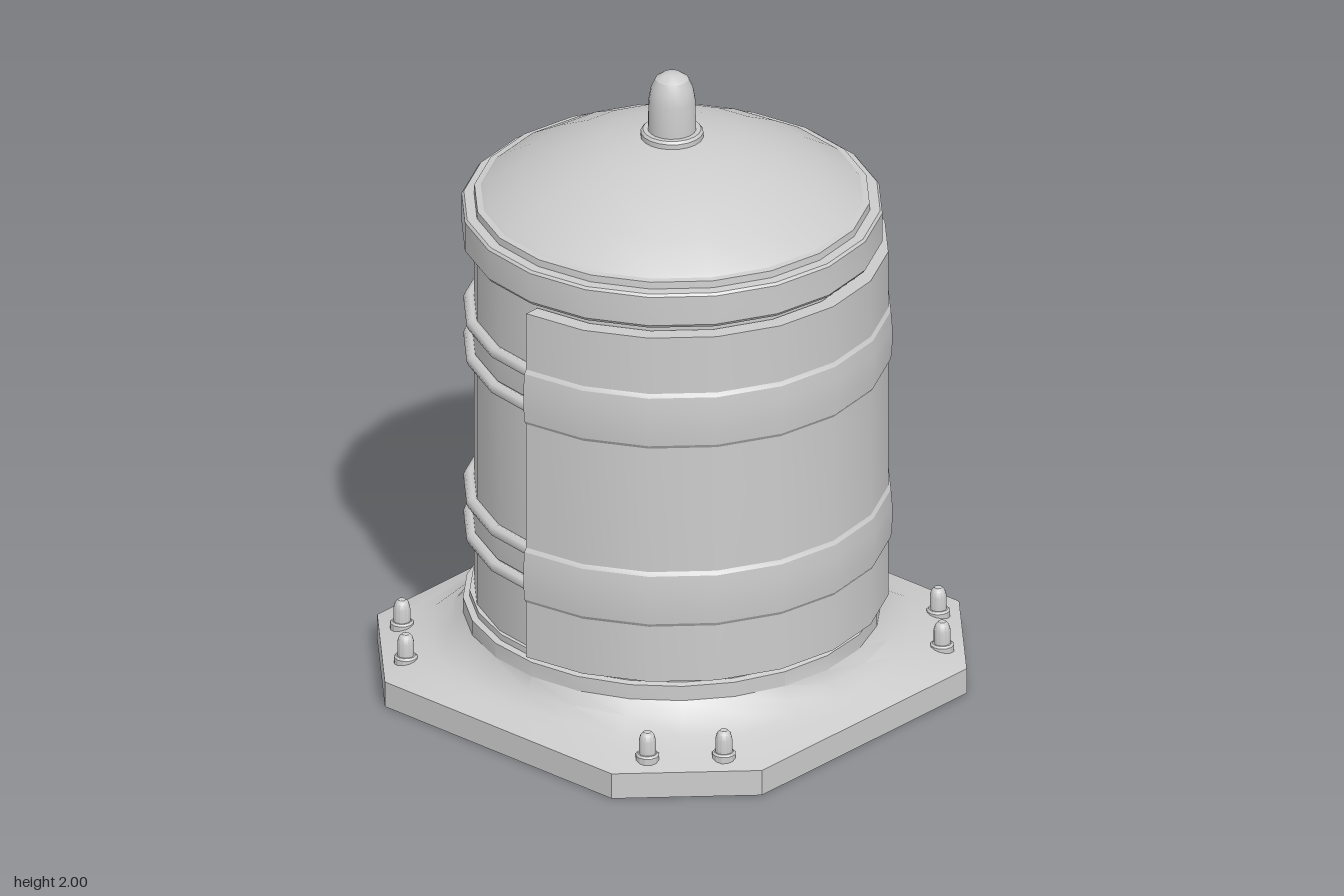
import * as THREE from 'three';
import { toCreasedNormals } from 'three/addons/utils/BufferGeometryUtils.js';

const grey = new THREE.MeshStandardMaterial({ color: 0xcccccc, side: THREE.DoubleSide });
const SIDES = 20;
const CREASE = 0.5;

const toPoints = (profile) => profile.map(([x, y]) => new THREE.Vector2(x, y));

function addMesh(parent, name, geometry) {
  const mesh = new THREE.Mesh(geometry, grey);
  mesh.name = name;
  parent.add(mesh);
  return mesh;
}

// Turned part; the profile runs upwards on its outside
function turned(profile, sides = SIDES, start = 0, sweep = Math.PI * 2) {
  return toCreasedNormals(new THREE.LatheGeometry(toPoints(profile), sides, start, sweep), CREASE);
}

// Octagonal foot that flows into a round collar, hollow underneath
function footGeometry() {
  const half = 0.78, corner = 0.46;
  const edge = (a) => {
    const s = Math.abs(Math.sin(a)), c = Math.abs(Math.cos(a));
    return Math.min(half / Math.max(s, c), (half + corner) / (s + c));
  };
  // Each ring: round radius, height, blend towards the octagon
  const rings = [
    [0, 0.2, 0], [0.56, 0.2, 0], [0.565, 0.12, 0], [0.59, 0.05, 0], [0.65, 0, 0],
    [0.63, 0, 1], [0.63, 0.083, 1], [0.63, 0.108, 0.6], [0.63, 0.125, 0.38],
    [0.63, 0.16, 0.13], [0.63, 0.2, 0], [0.63, 0.248, 0],
    [0.61, 0.252, 0], [0.61, 0.272, 0], [0.59, 0.272, 0],
  ];
  // Columns fall exactly on the octagon's corners
  const a0 = Math.atan2(corner, half);
  const angles = [];
  for (let q = 0; q < 4; q++) {
    const base = q * Math.PI / 2;
    for (let i = 0; i < 4; i++) angles.push(base - a0 + (2 * a0 * i) / 4);
    for (let i = 0; i < 2; i++) angles.push(base + a0 + ((Math.PI / 2 - 2 * a0) * i) / 2);
  }
  const n = angles.length, positions = [], index = [];
  rings.forEach(([r, y, blend], k) => {
    angles.forEach((a, i) => {
      const radius = r + (edge(a) - r) * blend;
      positions.push(Math.sin(a) * radius, y, Math.cos(a) * radius);
      if (k === rings.length - 1) return;
      const p = k * n + i, q = k * n + (i + 1) % n;
      index.push(p, q, p + n, q, q + n, p + n);
    });
  });
  const g = new THREE.BufferGeometry();
  g.setAttribute('position', new THREE.Float32BufferAttribute(positions, 3));
  g.setIndex(index);
  return toCreasedNormals(g, CREASE);
}

// Front half shell with closed ends
function addHalfShell(parent, name, profile) {
  const shell = new THREE.Group();
  shell.name = name;
  addMesh(shell, name + 'Wall', turned([...profile, profile[0]], SIDES / 2, -Math.PI / 2, Math.PI));
  for (const turn of [0, Math.PI]) {
    const end = addMesh(shell, name + 'End', new THREE.ShapeGeometry(new THREE.Shape(toPoints(profile))));
    end.rotation.y = turn;
  }
  parent.add(shell);
}

export function createModel() {
  const model = new THREE.Group();
  model.name = 'canister';

  addMesh(model, 'foot', footGeometry());
  addMesh(model, 'body', turned([[0.6, 0.25], [0.6, 1.47]]));

  // Lid: overhanging rim and shallow dome
  addMesh(model, 'lidRim', turned([
    [0.59, 1.455], [0.63, 1.455], [0.637, 1.465], [0.637, 1.56], [0.63, 1.568], [0.6, 1.57], [0.598, 1.592], [0.56, 1.597],
  ]));
  addMesh(model, 'lidDome', turned([
    [0.59, 1.585], [0.565, 1.606], [0.46, 1.667], [0.34, 1.725], [0.22, 1.765], [0.1, 1.787], [0, 1.79],
  ]));

  // Knob on a small washer
  addMesh(model, 'knobWasher', turned([[0.095, 1.78], [0.095, 1.803], [0.088, 1.811], [0, 1.811]]));
  addMesh(model, 'knob', turned([
    [0.073, 1.81], [0.071, 1.91], [0.064, 1.95], [0.05, 1.98], [0.028, 1.996], [0, 2],
  ]));

  // Curved front shield
  addHalfShell(model, 'shield', [[0.605, 0.275], [0.655, 0.275], [0.655, 1.432], [0.605, 1.432]]);

  // Two clamps: padded strap in front, flat strap and twin wires behind
  for (const y of [0.552, 1.152]) {
    addHalfShell(model, 'frontStrap', [
      [0.63, y - 0.092], [0.655, y - 0.092], [0.663, y - 0.08], [0.667, y - 0.03],
      [0.667, y + 0.03], [0.663, y + 0.08], [0.655, y + 0.092], [0.63, y + 0.092],
    ]);
    addMesh(model, 'backStrap', turned([
      [0.595, y - 0.04], [0.605, y - 0.04], [0.605, y + 0.04], [0.595, y + 0.04],
    ], SIDES / 2, Math.PI / 2, Math.PI));
    for (const dy of [-0.06, 0.06]) {
      const wire = addMesh(model, 'backWire', new THREE.TorusGeometry(0.612, 0.02, 8, SIDES / 2, Math.PI));
      wire.rotation.x = -Math.PI / 2;
      wire.position.y = y + dy;
    }
  }

  // Pairs of bolts on the foot's cut corners
  const washer = turned([[0.036, 0.08], [0.036, 0.112], [0.03, 0.118], [0, 0.118]], 12);
  const stud = turned([[0.026, 0.1], [0.026, 0.16], [0.021, 0.178], [0.012, 0.188], [0, 0.191]], 12);
  for (const sx of [-1, 1]) for (const sz of [-1, 1]) {
    for (const [x, z] of [[0.653, 0.49], [0.49, 0.653]]) {
      const bolt = new THREE.Group();
      bolt.name = 'bolt';
      addMesh(bolt, 'boltWasher', washer);
      addMesh(bolt, 'boltStud', stud);
      bolt.position.set(sx * x, 0, sz * z);
      model.add(bolt);
    }
  }
  return model;
}
